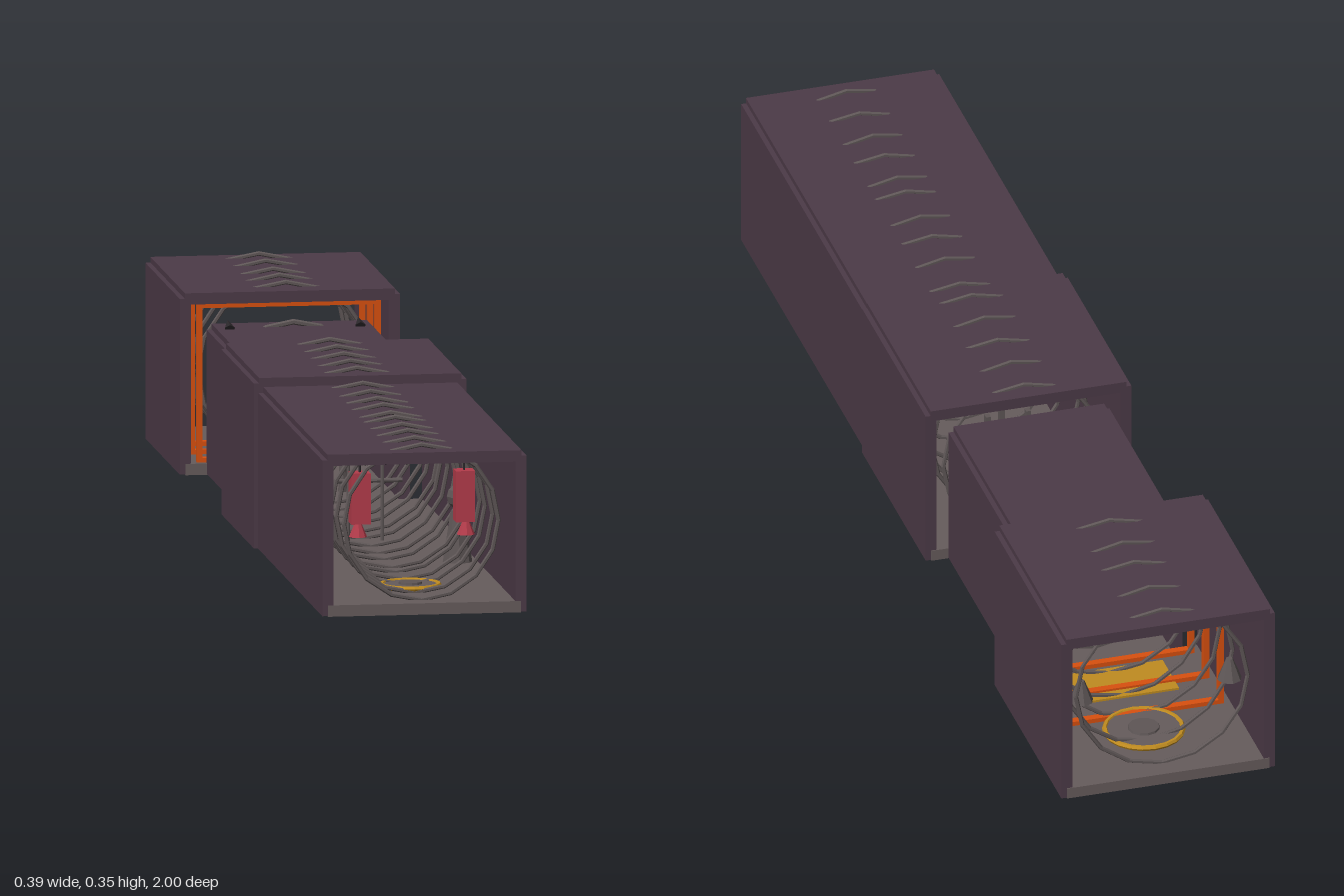
import * as THREE from 'three';

const mat = (name, color, flatShading = true) => {
  const m = new THREE.MeshStandardMaterial({ color, flatShading });
  m.name = name;
  return m;
};

export function createModel() {
  const root = new THREE.Group();
  root.name = 'corridor';
  const plum = mat('plum panel', 0x4c3a47);
  const stone = mat('grey floor', 0x665c5c);
  const iron = mat('iron', 0x5e5656);
  const black = mat('black iron', 0x2a2629);
  const orange = mat('orange', 0xd9500f);
  const gold = mat('gold', 0xc08c20);
  const red = mat('red', 0xb43c4b);

  const add = (name, geo, material, x, y, z, parent = root) => {
    const mesh = new THREE.Mesh(geo, material);
    mesh.name = name;
    mesh.position.set(x, y, z);
    parent.add(mesh);
    return mesh;
  };
  const box = (name, w, h, d, m, x, y, z, parent) =>
    add(name, new THREE.BoxGeometry(w, h, d), m, x, y, z, parent);
  const rod = (name, rTop, rBottom, h, m, x, y, z, parent, sides = 8) =>
    add(name, new THREE.CylinderGeometry(rTop, rBottom, h, sides), m, x, y, z, parent);
  const hoop = (name, r, tube, m, x, y, z, parent, sides = 16) =>
    add(name, new THREE.TorusGeometry(r, tube, 6, sides), m, x, y, z, parent);

  // Four open-ended box sections: floor, two walls, raised ceiling slab, ribs
  const sections = [
    { name: 'front', z0: 0.24, z1: 1, half: 0.18, top: 0.306, ribs: [0.27, 0.36, 0.44, 0.51, 0.6, 0.65, 0.73, 0.8, 0.88, 0.96] },
    { name: 'middle', z0: -0.15, z1: 0.24, half: 0.187, top: 0.322, ribs: [-0.12, -0.04, 0.04, 0.12, 0.2] },
    { name: 'narrow', z0: -0.6, z1: -0.15, half: 0.146, top: 0.285, ribs: [] },
    { name: 'rear', z0: -1, z1: -0.59, half: 0.194, top: 0.341, ribs: [-0.96, -0.88, -0.79, -0.72, -0.64] },
  ];
  for (const s of sections) {
    const g = new THREE.Group();
    g.name = s.name + 'Section';
    root.add(g);
    const len = s.z1 - s.z0, mid = (s.z0 + s.z1) / 2;
    box('floor', 2 * s.half - 0.02, 0.02, len, stone, 0, 0.03, mid, g);
    box('ceiling', 2 * s.half - 0.018, 0.02, len, plum, 0, s.top - 0.01, mid, g);
    for (const side of [-1, 1])
      box('wall', 0.02, s.top - 0.031, len - 0.003, plum, side * (s.half - 0.01), (s.top + 0.011) / 2, mid, g);
    // Ribs just break through the ceiling
    const low = 0.036, high = s.top + 0.012, r = (high - low) / 2;
    s.ribs.forEach((z, i) => {
      const rib = hoop('rib', r - 0.004, 0.004, iron, 0, (high + low) / 2, z, g);
      rib.rotation.set(0, (i % 2 ? 1 : -1) * 0.04, Math.PI / 2);
    });
  }

  // Roof loop and small spikes on the narrow section
  const loop = hoop('roofLoop', 0.125, 0.005, iron, 0, 0.168, -0.55);
  loop.rotation.z = Math.PI / 2;
  for (const side of [-1, 1]) {
    const spike = rod('roofSpike', 0, 0.01, 0.03, black, side * 0.115, 0.291, -0.545, root, 6);
    spike.rotation.x = -1.1;
  }

  // Orange frames lining the rear section
  for (const z of [-0.79, -0.7, -0.61]) {
    for (const side of [-1, 1])
      box('framePost', 0.01, 0.28, 0.014, orange, side * 0.157, 0.18, z);
    box('frameSill', 0.31, 0.008, 0.014, orange, 0, 0.044, z);
    box('frameLintel', 0.31, 0.008, 0.014, orange, 0, 0.316, z);
  }

  // Round floor plates with gold rims
  for (const [z, r] of [[0.83, 0.05], [-0.85, 0.068]]) {
    rod('floorPlate', r, r, 0.008, stone, 0, 0.044, z, root, 20);
    const rim = hoop('floorRim', r, 0.005, gold, 0, 0.046, z, root, 20);
    rim.rotation.x = Math.PI / 2;
    rod('floorHub', r * 0.4, r * 0.45, 0.012, iron, 0, 0.046, z, root, 12);
  }
  box('goldTile', 0.2, 0.004, 0.1, gold, 0, 0.042, -0.68);

  // Small fixture hanging below the floor
  rod('underBoss', 0.018, 0.012, 0.014, black, 0, 0.013, 0.81);
  for (const side of [-1, 1]) {
    rod('underCone', 0.003, 0.008, 0.017, black, side * 0.024, 0.0125, 0.81);
    rod('underPin', 0.003, 0.003, 0.02, gold, side * 0.016, 0.01, 0.81);
  }

  // Mirrored lanterns, urns and wall bells
  for (const side of [-1, 1]) {
    box('lantern', 0.034, 0.09, 0.034, red, side * 0.092, 0.205, 0.85);
    rod('lanternFoot', 0.006, 0.016, 0.024, red, side * 0.095, 0.148, 0.85);
    rod('lanternHanger', 0.002, 0.002, 0.04, black, side * 0.092, 0.27, 0.85);
    add('urnHead', new THREE.SphereGeometry(0.024, 8, 6), iron, side * 0.13, 0.155, 0.55);
    rod('urnBody', 0.012, 0.026, 0.09, iron, side * 0.125, 0.085, 0.55);
    rod('wallBell', 0.006, 0.022, 0.04, iron, side * 0.135, 0.185, -0.92);
    rod('goldFinial', 0, 0.008, 0.03, gold, side * 0.03, 0.23, 0.3);
    rod('finialStem', 0.003, 0.003, 0.18, iron, side * 0.03, 0.13, 0.3);
  }

  // Beaded chains
  for (const x of [-0.055, -0.018, 0.018, 0.055])
    for (let i = 0; i < 7; i++) {
      const link = hoop('chainLink', 0.005, 0.0018, black, x, 0.277 - i * 0.013, 0.42, root, 8);
      link.rotation.y = i % 2 ? 1.2 : 0;
    }

  // Cross rods, hanging posts and small tables
  for (const [y, w, z] of [[0.165, 0.2, 0.1], [0.098, 0.22, 0]])
    rod('crossRod', 0.004, 0.004, w, iron, 0, y, z).rotation.z = Math.PI / 2;
  for (const [x, y, h] of [[-0.07, 0.16, 0.1], [-0.028, 0.18, 0.11], [0.02, 0.19, 0.13], [0.045, 0.18, 0.11]])
    box('hangingPost', 0.009, h, 0.012, iron, x, y, -0.05);
  for (const [x, y, z] of [[-0.042, 0.108, -0.3], [0, 0.132, -0.4], [0.042, 0.118, -0.25]]) {
    rod('tableTop', 0.024, 0.024, 0.012, iron, x, y, z, root, 12);
    rod('tableLeg', 0.005, 0.008, y - 0.04, iron, x, (y + 0.04) / 2, z);
  }
  const halo = hoop('goldHalo', 0.055, 0.0016, gold, 0, 0.15, -0.45, root, 24);
  halo.scale.y = 0.85;

  return root;
}
